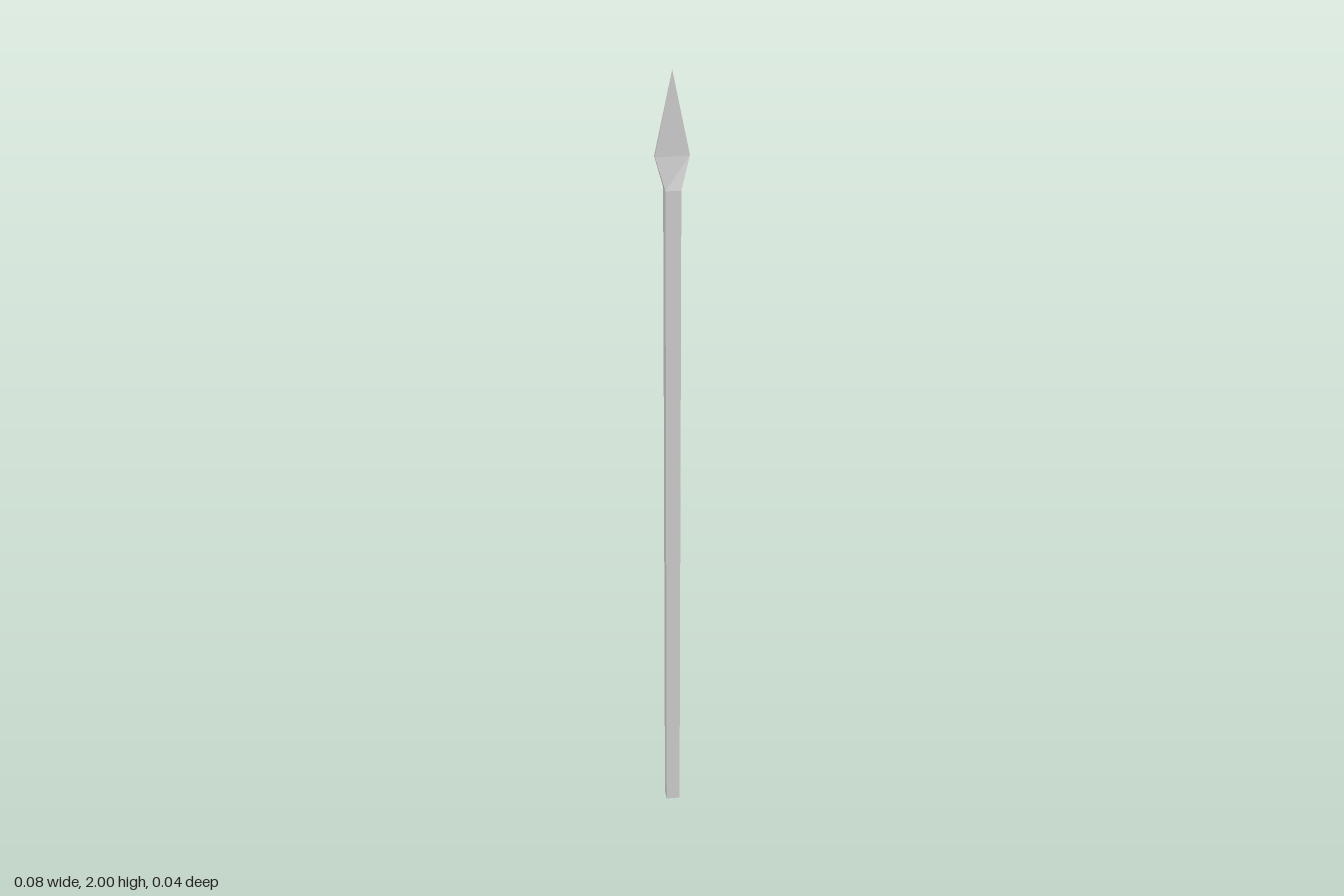
import * as THREE from 'three';

// Joins four-cornered rings, listed bottom to top, into a faceted solid.
// Corners run front-left, front-right, back-right, back-left (as [x, z]).
function loft(rings, capBottom) {
  const pos = [];
  const quad = (a, b, c, d) => pos.push(...a, ...b, ...c, ...a, ...c, ...d);
  const pts = rings.map(({ y, corners }) => corners.map(([x, z]) => [x, y, z]));
  for (let r = 0; r < pts.length - 1; r++) {
    for (let i = 0; i < 4; i++) {
      const j = (i + 1) % 4;
      quad(pts[r][i], pts[r][j], pts[r + 1][j], pts[r + 1][i]);
    }
  }
  if (capBottom) quad(...[...pts[0]].reverse());
  const geometry = new THREE.BufferGeometry();
  geometry.setAttribute('position', new THREE.Float32BufferAttribute(pos, 3));
  geometry.computeVertexNormals();
  return geometry;
}

const rect = (x, z) => [[-x, z], [x, z], [x, -z], [-x, -z]];

export function createModel() {
  const group = new THREE.Group();
  group.name = 'spear';
  const material = new THREE.MeshStandardMaterial({ color: 0xcccccc, flatShading: true });
  const add = (name, geometry) => {
    const mesh = new THREE.Mesh(geometry, material);
    mesh.name = name;
    group.add(mesh);
  };

  // Square shaft, very slightly thicker towards the head
  const neck = { y: 1.715, corners: rect(0.019, 0.019) };
  add('shaft', loft([{ y: 0, corners: rect(0.0175, 0.0175) }, neck], true));

  // Flat blade: flares sideways while thinning, then runs to a point
  const shoulder = {
    y: 1.795,
    corners: [[-0.042, 0.009], [0.042, 0.001], [0.042, -0.008], [-0.042, -0.008]],
  };
  add('spearhead', loft([neck, shoulder, { y: 2, corners: rect(0, 0) }], false));

  return group;
}
